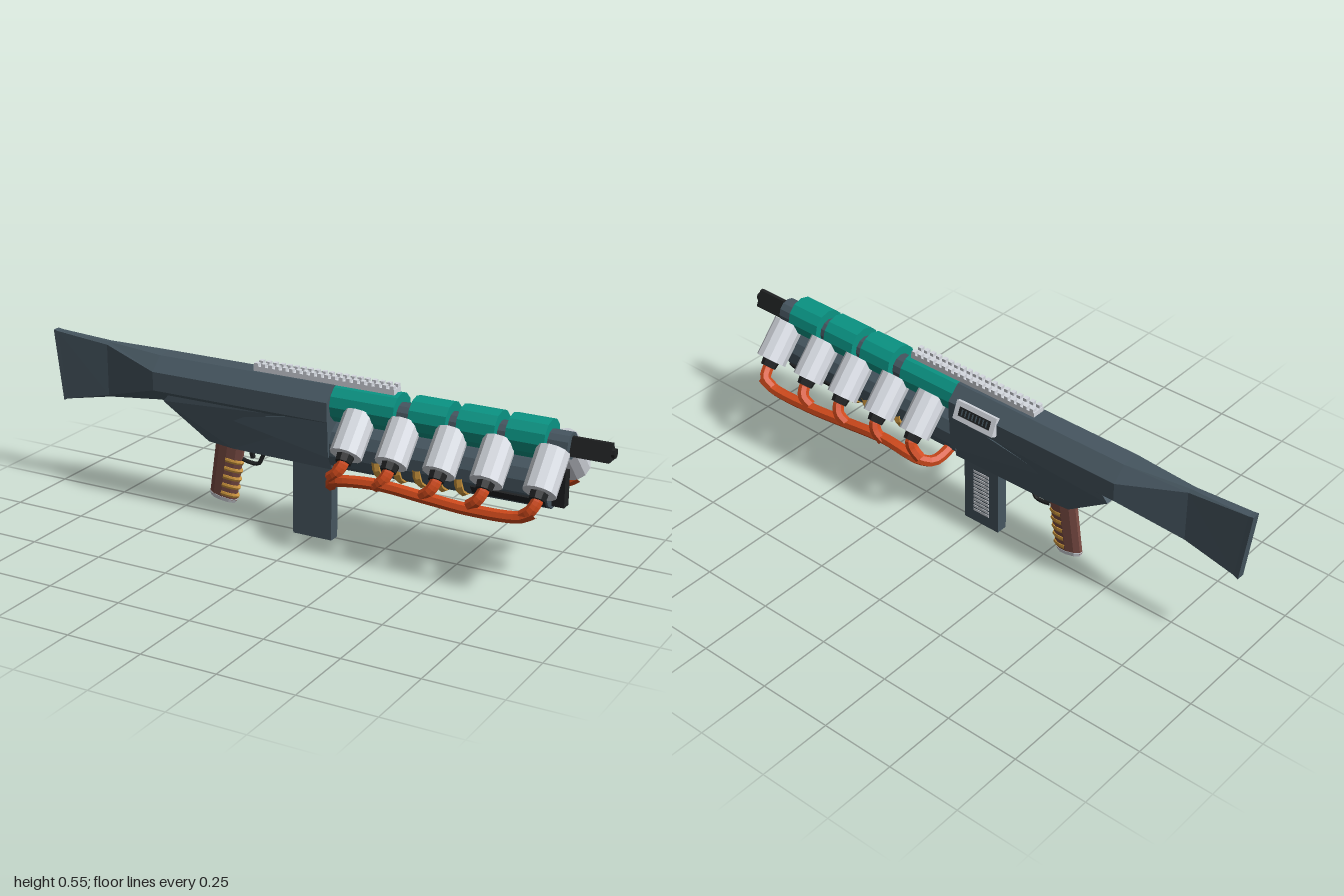
import * as THREE from 'three';

const CZ = 0.007; // centre plane of the body
const mat = (name, color) => {
  const m = new THREE.MeshStandardMaterial({ color });
  m.name = name;
  return m;
};
// faceted normals for every part
const flat = (g) => {
  const f = g.index ? g.toNonIndexed() : g;
  f.computeVertexNormals();
  return f;
};
// skin through sections [x, bottom, top, halfWidth, xShift at the bottom, squareness]
function loft(sections, sides = 8) {
  const pos = [], idx = [], k = 1 / Math.cos(Math.PI / sides);
  for (const [x, y0, y1, w, shift = 0, square = 0] of sections) {
    for (let i = 0; i < sides; i++) {
      const a = ((i + 0.5) / sides) * Math.PI * 2, round = Math.sin(a) * k;
      const s = THREE.MathUtils.lerp(round, Math.sign(round), square);
      pos.push(x + shift * (1 - s) / 2, (y0 + y1) / 2 + s * (y1 - y0) / 2, CZ + Math.cos(a) * k * w);
    }
  }
  const last = (sections.length - 1) * sides;
  for (let s = 0; s < sections.length - 1; s++) {
    for (let i = 0; i < sides; i++) {
      const a = s * sides + i, b = s * sides + (i + 1) % sides;
      idx.push(a, a + sides, b, b, a + sides, b + sides);
    }
  }
  for (let i = 1; i < sides - 1; i++) idx.push(0, i, i + 1, last, last + i + 1, last + i);
  const g = new THREE.BufferGeometry();
  g.setAttribute('position', new THREE.Float32BufferAttribute(pos, 3));
  g.setIndex(idx);
  return g;
}

export function createModel() {
  const slate = mat('slate', 0x465660), teal = mat('teal', 0x0a9484), silver = mat('silver', 0xd5d9e0);
  const orange = mat('orange', 0xd04a1c), gold = mat('gold', 0xd0983e), brown = mat('brown', 0x7a4c44);
  const black = mat('black', 0x1f2122);
  const model = new THREE.Group();
  const add = (name, geo, m, x = 0, y = 0, z = 0, parent = model) => {
    const mesh = new THREE.Mesh(flat(geo), m);
    mesh.name = name;
    mesh.position.set(x, y, z);
    parent.add(mesh);
    return mesh;
  };
  const box = (w, h, d) => new THREE.BoxGeometry(w, h, d);
  const rod = (r, len, sides) => new THREE.CylinderGeometry(r, r, len, sides).rotateZ(-Math.PI / 2);
  const tube = (pts, r, n) => new THREE.TubeGeometry(
    new THREE.CatmullRomCurve3(pts.map((p) => new THREE.Vector3(...p))), r === undefined ? 8 : n, r, 7);

  // stock flattening to a square-edged butt, and the receiver
  add('stock', loft([
    [-1.0, 0.3, 0.545, 0.014, 0.03, 1], [-0.983, 0.308, 0.542, 0.014, 0.028, 1],
    [-0.78, 0.342, 0.534, 0.018, 0, 0.85], [-0.56, 0.375, 0.527, 0.078],
  ]), slate);
  add('upperReceiver', loft([[-0.56, 0.375, 0.527, 0.078], [0.085, 0.375, 0.527, 0.078]]), slate);

  // lower receiver: side outline with chamfered flanks
  const lower = new THREE.Shape([[-0.53, 0.385], [-0.37, 0.267], [-0.28, 0.258], [0.085, 0.253], [0.085, 0.42], [-0.5, 0.42]]
    .map((p) => new THREE.Vector2(...p)));
  const lowerGeo = new THREE.ExtrudeGeometry(lower, { depth: 0.13, bevelEnabled: false }).translate(0, 0, -0.065);
  const lp = lowerGeo.attributes.position;
  for (let i = 0; i < lp.count; i++) {
    if (lp.getY(i) < 0.3) lp.setZ(i, lp.getZ(i) * 0.68);
  }
  add('lowerReceiver', lowerGeo, slate, 0, 0, CZ);
  // swelling wedge on each flank of the receiver
  for (const s of [1, -1]) {
    const wedge = new THREE.BufferGeometry();
    const p = [[-0.3, 0.365, 0.058], [0.085, 0.3, 0.07], [0.085, 0.44, 0.077], [0.085, 0.3, 0], [0.085, 0.44, 0]];
    wedge.setAttribute('position', new THREE.Float32BufferAttribute(p.flatMap(([x, y, z]) => [x, y, z * s]), 3));
    const f = [0, 1, 2, 0, 3, 1, 0, 2, 4, 1, 3, 4, 1, 4, 2];
    wedge.setIndex(s > 0 ? f : f.reverse());
    add('receiverFlank', wedge, slate, 0, 0, CZ);
  }

  // toothed top rail
  add('railBase', box(0.5, 0.017, 0.046), silver, 0.04, 0.5345, CZ + 0.002);
  for (let i = 0; i < 20; i++) {
    for (const s of [1, -1]) add('railTooth', box(0.014, 0.013, 0.016), silver, -0.2 + i * 0.0253, 0.547, CZ + 0.002 + s * 0.015);
  }

  // port on the right flank
  const port = new THREE.Group();
  port.name = 'ejectionPort';
  port.position.set(-0.03, 0.472, -0.071);
  port.rotation.x = 0.4;
  model.add(port);
  add('portFrame', box(0.16, 0.062, 0.022), silver, 0, 0, 0, port);
  add('portOpening', box(0.125, 0.03, 0.002), black, 0, 0, -0.011, port);
  for (let i = 0; i < 8; i++) add('portRib', box(0.005, 0.02, 0.002), slate, -0.049 + i * 0.014, 0, -0.0118, port);

  // magazine with slats on its right side
  add('magazine', box(0.14, 0.27, 0.04), slate, 0, 0.135, CZ);
  for (let i = 0; i < 12; i++) add('magazineSlat', box(0.064, 0.009, 0.003), silver, 0, 0.047 + i * 0.0142, -0.013);

  // raked grip with finger rings and a base cap
  const grip = new THREE.Group();
  grip.name = 'grip';
  grip.position.set(-0.33, 0.165, CZ);
  grip.rotation.z = -0.16;
  model.add(grip);
  add('gripBody', new THREE.CylinderGeometry(0.054, 0.051, 0.2, 10).scale(1, 1, 0.38), brown, 0, 0, 0, grip);
  add('gripCap', new THREE.CylinderGeometry(0.053, 0.047, 0.014, 10).scale(1, 1, 0.39), silver, 0, -0.101, 0, grip);
  for (let i = 0; i < 5; i++) {
    const ring = new THREE.TorusGeometry(0.051, 0.008, 6, 8, Math.PI)
      .rotateZ(-Math.PI / 2).rotateX(Math.PI / 2).scale(1, 1, 0.4);
    add('fingerRing', ring, gold, 0, -0.08 + i * 0.03, 0, grip);
  }
  add('triggerGuard', tube([[-0.268, 0.21, CZ], [-0.25, 0.205, CZ], [-0.21, 0.205, CZ], [-0.198, 0.225, CZ], [-0.18, 0.262, CZ]], 0.007, 12), black);
  add('trigger', box(0.012, 0.04, 0.012), black, -0.235, 0.24, CZ).rotation.z = 0.25;

  // barrel, sleeves and triangular muzzle
  add('barrel', rod(0.042, 0.79, 12), slate, 0.47, 0.458, CZ);
  for (const [a, b] of [[0.085, 0.305], [0.355, 0.48], [0.515, 0.64], [0.675, 0.8]]) {
    add('barrelSleeve', rod(0.064, b - a, 12), teal, (a + b) / 2, 0.466, CZ);
  }
  const muzzle = new THREE.Shape([[-0.028, 0.434], [0.028, 0.434], [0.006, 0.488], [-0.006, 0.488]].map((p) => new THREE.Vector2(...p)));
  add('muzzle', new THREE.ExtrudeGeometry(muzzle, { depth: 0.13, bevelEnabled: false }).rotateY(Math.PI / 2), black, 0.86, 0, CZ);
  add('muzzleTip', rod(0.016, 0.02, 8), black, 0.99, 0.458, CZ);

  // fore-end with front bar, side slots and gold coils
  add('foreEnd', loft([[0.08, 0.25, 0.4, 0.064], [0.815, 0.255, 0.4, 0.064]], 12), slate);
  add('frontBar', box(0.055, 0.113, 0.034), black, 0.828, 0.322, CZ + 0.003);
  for (const s of [1, -1]) add('sideSlot', box(0.24, 0.03, 0.008), black, 0.69, 0.286, CZ + s * 0.054).rotation.x = s * 0.6;
  for (let i = 0; i < 5; i++) {
    const coil = new THREE.TorusGeometry(0.062, 0.0145, 6, 8, Math.PI).rotateZ(Math.PI).rotateY(Math.PI / 2);
    add('coil', coil, gold, 0.25 + i * 0.07, 0.315, CZ);
  }

  // angled canisters with sockets, feeder cables and a main cable on each side
  const stations = [0.18, 0.335, 0.495, 0.65, 0.82];
  const tilt = 0.75;
  for (const s of [1, -1]) {
    const zc = CZ - 0.003;
    // the right-hand cable run splays outward to the front
    const splay = (x) => (s < 0 ? (x - 0.5) * 0.04 : 0);
    for (const x of stations) {
      const can = new THREE.Group();
      can.name = 'canister';
      can.position.set(x, 0.395, zc + s * 0.086);
      can.rotation.x = -s * tilt;
      model.add(can);
      add('canisterBody', new THREE.CylinderGeometry(0.052, 0.052, 0.138, 12), silver, 0, 0, 0, can);
      add('canisterSocket', new THREE.CylinderGeometry(0.03, 0.026, 0.03, 8), black, 0, -0.078, 0, can);
      add('feederCable', tube([[x, 0.338, 0.135], [x, 0.322, 0.15], [x - 0.012, 0.298, 0.163 + splay(x)],
        [x - 0.04, 0.275, 0.161 + splay(x)]].map(([px, y, z]) => [px, y, zc + s * z]), 0.019, 8), orange);
    }
    const dip = s > 0 ? 0.237 : 0.25;
    add('mainCable', tube([[0.115, 0.27, 0.05], [0.115, dip + 0.008, 0.085], [0.125, dip, 0.125], [0.155, 0.265, 0.158],
      [0.3, 0.282, 0.16], [0.48, 0.27, 0.16], [0.62, 0.262, 0.161], [0.78, 0.272, 0.163], [0.82, 0.295, 0.163]]
      .map(([x, y, z]) => [x, y, zc + s * (z + splay(x))]), 0.019, 36), orange);
  }
  return model;
}
